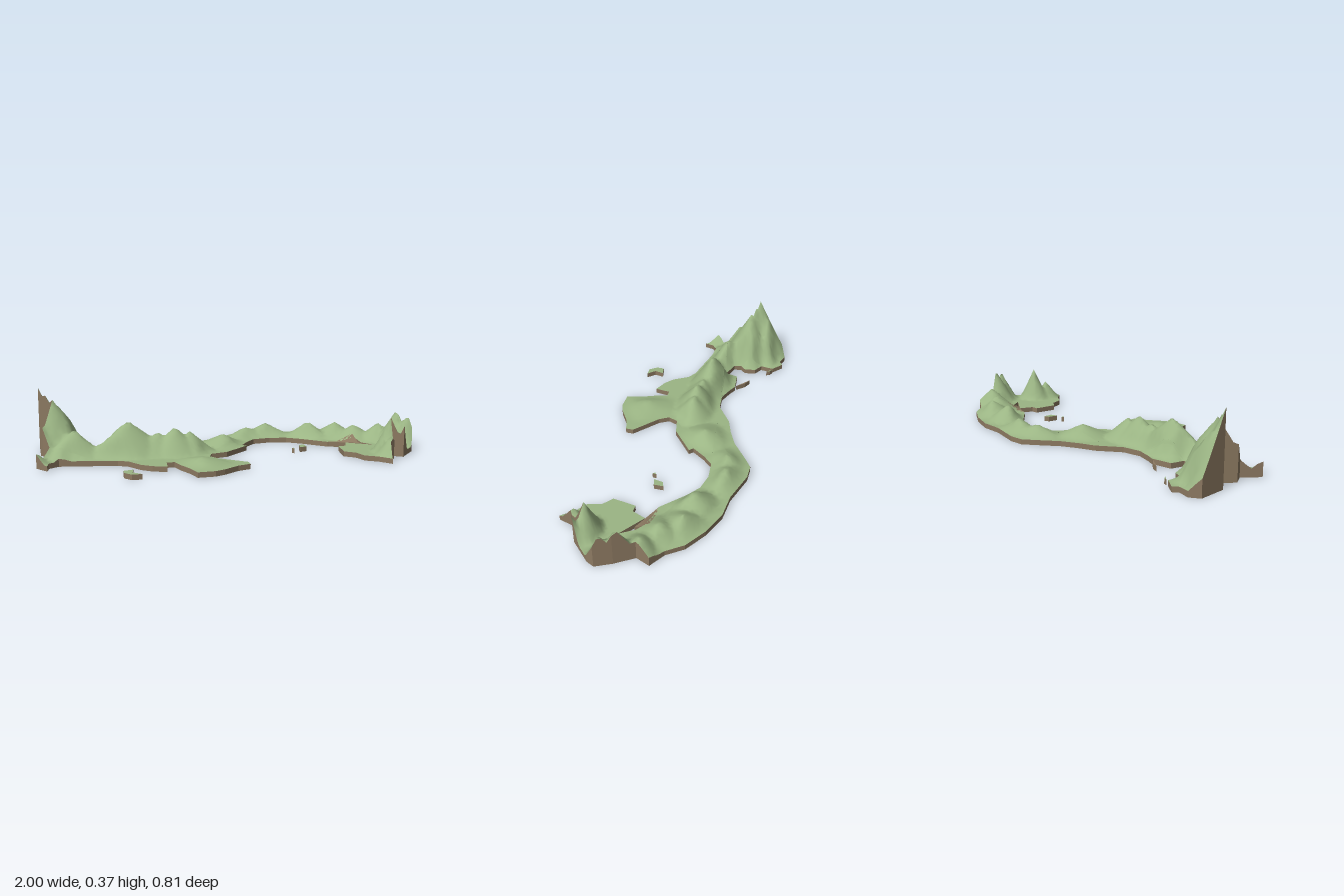
import * as THREE from 'three';
import { mergeVertices } from 'three/addons/utils/BufferGeometryUtils.js';

// Coast points as x, z pairs in hundredths of a unit, clockwise from the west
const westCliffs = [-97, -23, -97, -38, -92, -41];
const northShore = [
  -86, -39, -83, -41, -77, -36, -78, -29, -73, -26, -72, -20, -75, -17, -74, -13, -65, -10,
  -63, -17, -52, -18, -48, -16, -40, -13, -30, -14, -18, -22, -9, -25,
  0, -29, 11, -37, 17, -41, 25, -41, 42, -36, 55, -35, 68, -30, 79, -23, 85, -15,
];
const eastCliffs = [
  93, -10, 90, -3, 96, 6, 100, 14, 98, 18, 88, 28, 82, 24, 81, 31,
  78, 33, 76, 40, 71, 34, 65, 30, 63, 23, 58, 19, 60, 7, 64, 7, 67, 0, 80, 9, 73, -2,
];
const southShore = [
  58, -4, 46, -15, 39, -20, 30, -22, 20, -21, 15, -16, 10, -9, 12, -7, -2, 4, -11, 6,
  -13, 11, -10, 16, 3, 27, 3, 31, -4, 33, -12, 38, -17, 40, -26, 40, -28, 32, -31, 25,
  -33, 18, -37, 18, -38, 26, -45, 23, -50, 19, -55, 11, -60, 8, -83, 3,
];
const westPoint = [-89, 2, -94, 5, -95, 10, -100, 3, -93, -5, -96, -11, -90, -19];

const islands = {
  crescentIsland: [-60, 28, -55, 27, -56, 32, -52, 36, -57, 36, -60, 32],
  gulfIsland: [40, -1, 43, -2, 43, 3, 39, 4],
  gulfIslet: [34, 5, 35, 4, 35, 6],
  lagoonIslet: [-76, -36, -74, -35, -73, -33],
};
// Bare strips of shore
const bareShores = {
  lagoonSpit: [-61, -25, -57, -23, -53, -18.5],
  gulfBank: [58, -4.2, 73, -4.5, 74, 3],
};

// Mountains: x, z, height, x radius, z radius
const peaks = [
  [-0.97, -0.23, 0.34, 0.17, 0.19], [-0.9, -0.19, 0.28, 0.24, 0.17], [-0.935, -0.21, 0.3, 0.18, 0.15],
  [-0.94, -0.29, 0.25, 0.2, 0.1], [-0.96, -0.11, 0.15, 0.15, 0.11], [-0.8, -0.08, 0.14, 0.19, 0.14],
  [-1, 0.02, 0.055, 0.06, 0.08], [-0.53, -0.04, 0.18, 0.25, 0.13], [-0.38, -0.02, 0.115, 0.22, 0.11],
  [-0.29, -0.01, 0.14, 0.17, 0.12], [-0.21, -0.01, 0.115, 0.14, 0.11], [-0.2, 0.25, 0.035, 0.16, 0.16],
  [0, -0.13, 0.06, 0.14, 0.14], [0.18, -0.29, 0.055, 0.15, 0.12], [0.3, -0.31, 0.07, 0.15, 0.12],
  [0.52, -0.2, 0.09, 0.13, 0.13], [0.68, -0.19, 0.08, 0.14, 0.13], [0.76, -0.1, 0.08, 0.14, 0.12],
  [0.88, -0.04, 0.095, 0.13, 0.1], [0.95, 0.045, 0.18, 0.12, 0.11], [0.985, 0.11, 0.165, 0.12, 0.08],
  [0.82, 0.24, 0.18, 0.1, 0.08], [0.88, 0.28, 0.14, 0.06, 0.06], [0.79, 0.31, 0.1, 0.08, 0.08],
];

// Pairs of hundredths to points
const toPoints = (coords) => Array.from({ length: coords.length / 2 },
  (_, i) => new THREE.Vector2(coords[2 * i] / 100, coords[2 * i + 1] / 100));

const lowShores = [northShore, southShore].map(toPoints);

// Distance to the nearest low shore
function shoreDistance(x, z) {
  let best = Infinity;
  for (const shore of lowShores) {
    for (let i = 1; i < shore.length; i++) {
      const a = shore[i - 1], dx = shore[i].x - a.x, dz = shore[i].y - a.y;
      const t = THREE.MathUtils.clamp(((x - a.x) * dx + (z - a.y) * dz) / (dx * dx + dz * dz), 0, 1);
      best = Math.min(best, Math.hypot(x - a.x - t * dx, z - a.y - t * dz));
    }
  }
  return best;
}

// Land height at a point, sinking towards the low shores
function heightAt(x, z) {
  let h = 0;
  for (const [px, pz, top, rx, rz] of peaks) {
    const t = Math.max(0, 1 - Math.hypot((x - px) / rx, (z - pz) / rz));
    h = Math.max(h, top * Math.pow(t, 1.1));
  }
  return 0.027 + h * Math.min(1, shoreDistance(x, z) / 0.07);
}

const maxEdge = 0.032;
const middle = (a, b) => new THREE.Vector2((a.x + b.x) / 2, (a.y + b.y) / 2);

// Halve the longest edge until a triangle is small enough
function splitTriangle(a, b, c, out) {
  const ab = a.distanceTo(b), bc = b.distanceTo(c), ca = c.distanceTo(a);
  const longest = Math.max(ab, bc, ca);
  if (longest <= maxEdge) { out.push(a, b, c); return; }
  if (bc === longest) [a, b, c] = [b, c, a];
  else if (ca === longest) [a, b, c] = [c, a, b];
  const m = middle(a, b);
  splitTriangle(a, m, c, out);
  splitTriangle(m, b, c, out);
}

// Halve a coast edge by the same rule
function splitEdge(a, b, out) {
  if (a.distanceTo(b) <= maxEdge) { out.push([a, b]); return; }
  const m = middle(a, b);
  splitEdge(a, m, out);
  splitEdge(m, b, out);
}

function toGeometry(positions, smooth) {
  let g = new THREE.BufferGeometry();
  g.setAttribute('position', new THREE.Float32BufferAttribute(positions, 3));
  if (smooth) g = mergeVertices(g, 1e-5);
  g.computeVertexNormals();
  return g;
}

// One piece of land: relief on top, brown cliffs and a flat underside
function makeLand(name, coords, cover, earth) {
  const outline = toPoints(coords);
  if (THREE.ShapeUtils.area(outline) < 0) outline.reverse();

  const top = [], cliffs = [], base = [];
  const high = (p) => [p.x, heightAt(p.x, p.y), p.y];
  const low = (p) => [p.x, 0, p.y];

  for (const face of THREE.ShapeUtils.triangulateShape(outline, [])) {
    let [a, b, c] = face.map((i) => outline[i]);
    // Wind every face so that it looks up
    if ((b.y - a.y) * (c.x - a.x) - (b.x - a.x) * (c.y - a.y) < 0) [b, c] = [c, b];
    base.push(...low(a), ...low(c), ...low(b));
    const small = [];
    splitTriangle(a, b, c, small);
    for (const p of small) top.push(...high(p));
  }

  outline.forEach((a, i) => {
    const edges = [];
    splitEdge(a, outline[(i + 1) % outline.length], edges);
    for (const [p, q] of edges) {
      cliffs.push(...high(p), ...high(q), ...low(q), ...high(p), ...low(q), ...low(p));
    }
  });

  const group = new THREE.Group();
  group.name = name;
  const parts = [['relief', top, true, cover], ['cliffs', cliffs, false, earth], ['underside', base, false, earth]];
  for (const [part, positions, smooth, material] of parts) {
    const mesh = new THREE.Mesh(toGeometry(positions, smooth), material);
    mesh.name = part;
    group.add(mesh);
  }
  return group;
}

export function createModel() {
  const grass = new THREE.MeshStandardMaterial({ color: 0x9bb584 });
  grass.name = 'grass green';
  // Cliffs stay visible from behind where they rise above the land
  const earth = new THREE.MeshStandardMaterial({ color: 0x8d7a62, side: THREE.DoubleSide });
  earth.name = 'earth brown';

  const model = new THREE.Group();
  model.name = 'reliefMap';
  const coast = [westCliffs, northShore, eastCliffs, southShore, westPoint].flat();
  model.add(makeLand('mainland', coast, grass, earth));
  for (const [name, coords] of Object.entries(islands)) model.add(makeLand(name, coords, grass, earth));
  for (const [name, coords] of Object.entries(bareShores)) model.add(makeLand(name, coords, earth, earth));
  return model;
}
